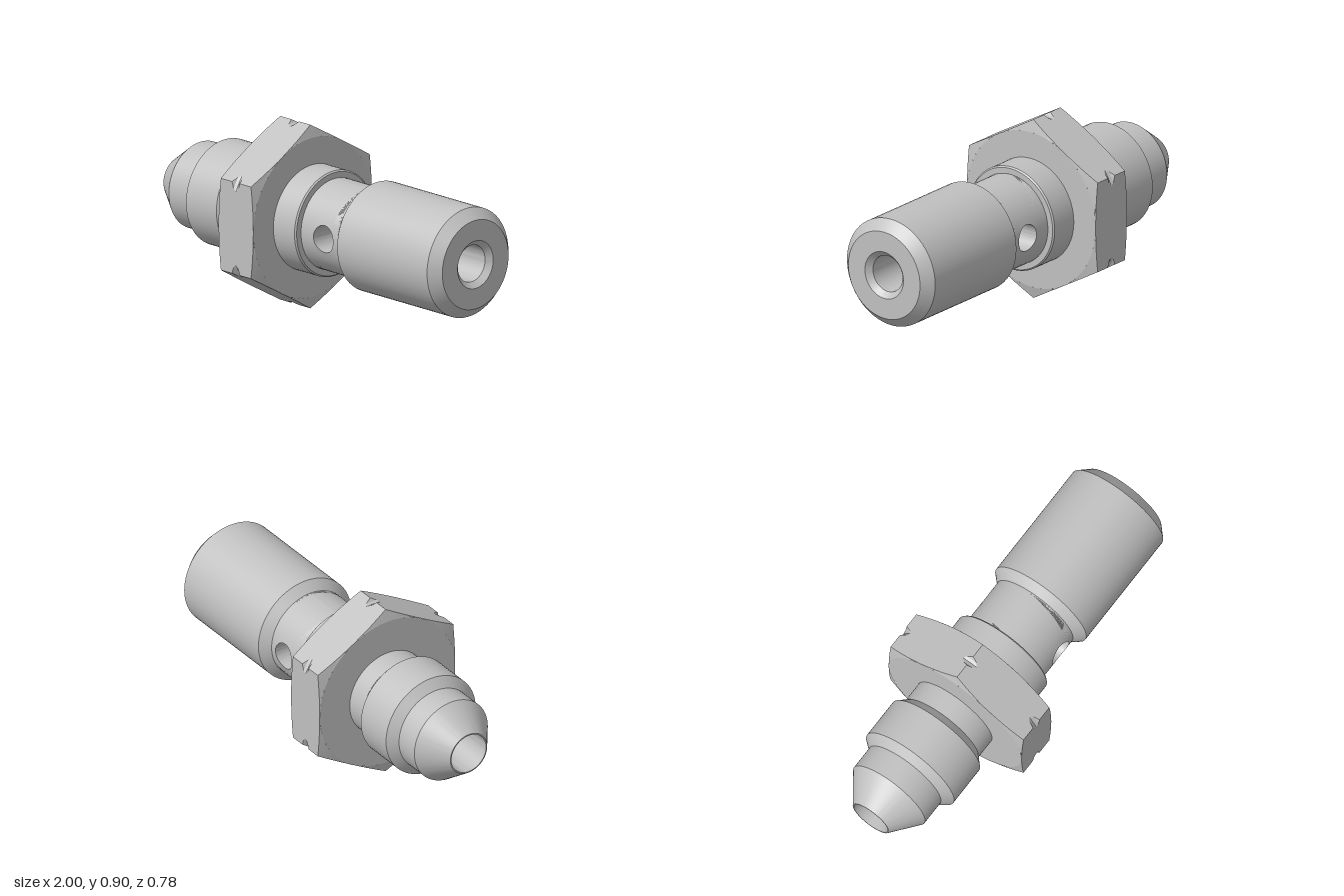
import * as THREE from 'three';
import { toCreasedNormals } from 'three/addons/utils/BufferGeometryUtils.js';

const CORNER = 0.4515, APOTHEM = CORNER * Math.cos(Math.PI / 6);
const NECK_R = 0.223, BORE_R = 0.1;
const NECK_X0 = 0.05, NECK_X1 = 0.29, HOLE_X = 0.2, HOLE_R = 0.066;

// Surface from a rule fn(i, j) -> [x, y, z]; it faces along (i direction) x (j direction)
function grid(nu, nv, fn) {
  const pos = [], idx = [];
  for (let i = 0; i <= nu; i++) for (let j = 0; j <= nv; j++) pos.push(...fn(i, j));
  for (let i = 0; i < nu; i++) for (let j = 0; j < nv; j++) {
    const a = i * (nv + 1) + j, b = a + nv + 1;
    idx.push(a, b, b + 1, a, b + 1, a + 1);
  }
  const g = new THREE.BufferGeometry();
  g.setAttribute('position', new THREE.Float32BufferAttribute(pos, 3));
  g.setIndex(idx);
  return toCreasedNormals(g, 0.3);
}

// Turned part along x from [x, radius] points
function turned(points) {
  const g = new THREE.LatheGeometry(points.map(([x, r]) => new THREE.Vector2(r, x)), 64);
  g.rotateZ(-Math.PI / 2);
  return toCreasedNormals(g, 0.3);
}

// Half cylinder with a round cross hole; the grid runs from the hole rim to the outer border
function drilledHalf(R, inward) {
  const N = 128, S = 10;
  return grid(S, N, (i, j) => {
    const s = (inward ? S - i : i) / S;
    const a = (j / N) * Math.PI * 2, c = Math.cos(a), n = Math.sin(a);
    const d = Math.max(Math.abs(c), Math.abs(n));
    const edgeX = HOLE_X + (c / d) * (c > 0 ? NECK_X1 - HOLE_X : HOLE_X - NECK_X0);
    const x = THREE.MathUtils.lerp(HOLE_X + HOLE_R * c, edgeX, s);
    const phi = THREE.MathUtils.lerp(Math.asin(HOLE_R * n / R), (n / d) * Math.PI / 2, s);
    return [x, R * Math.sin(phi), R * Math.cos(phi)];
  });
}

// Wall of the cross hole between bore and neck surface
function holeWall() {
  const N = 64;
  return grid(1, N, (i, j) => {
    const a = (j / N) * Math.PI * 2, y = HOLE_R * Math.sin(a);
    const R = i ? NECK_R : BORE_R;
    return [HOLE_X + HOLE_R * Math.cos(a), y, Math.sqrt(R * R - y * y)];
  });
}

// Hexagon trimmed by a turned outline: end chamfers and a small groove across the corners
function hexSides() {
  const outline = [[-0.335, APOTHEM], [-0.319, CORNER], [-0.244, CORNER], [-0.233, 0.436], [-0.218, 0.43],
    [-0.203, 0.436], [-0.192, CORNER], [-0.116, CORNER], [-0.1, APOTHEM]];
  const stations = [];
  outline.forEach(([x, r], k) => {
    if (k === 0) return stations.push([x, r]);
    const [px, pr] = outline[k - 1];
    for (let m = 1; m <= 5; m++) stations.push([px + (x - px) * m / 5, pr + (r - pr) * m / 5]);
  });
  const n = 6, perFace = 4 * n;
  return grid(stations.length - 1, 6 * perFace, (i, j) => {
    const [x, cap] = stations[i];
    const face = Math.floor(j / perFace), k = (j % perFace) - 2 * n;
    // angle at which the flat meets the turned outline
    const cut = Math.acos(Math.min(1, APOTHEM / cap)), m = Math.abs(k);
    const t = m <= n ? cut * m / n : cut + (Math.PI / 6 - cut) * (m - n) / n;
    const r = Math.min(APOTHEM / Math.cos(t), cap);
    const a = face * Math.PI / 3 + Math.PI / 6 + Math.sign(k) * t;
    return [x, r * Math.cos(a), -r * Math.sin(a)];
  });
}

export function createModel() {
  const model = new THREE.Group();
  model.name = 'hollowBolt';
  const steel = new THREE.MeshStandardMaterial({ color: 0xc0c0c0 });
  steel.name = 'steel';
  const add = (name, geometry, parent = model) => {
    const mesh = new THREE.Mesh(geometry, steel);
    mesh.name = name;
    parent.add(mesh);
    return mesh;
  };

  // Tapered pipe end with its open bore
  add('pipeEnd', turned([[NECK_X0, BORE_R], [-1, BORE_R], [-1, 0.106], [-0.855, 0.212], [-0.73, 0.212],
    [-0.69, 0.259], [-0.485, 0.259], [-0.443, 0.218], [-0.335, 0.218]]));

  // Hexagon and its two end faces
  const hex = new THREE.Group();
  hex.name = 'hexagon';
  model.add(hex);
  add('hexSides', hexSides(), hex);
  add('hexLeftFace', turned([[-0.335, 0.218], [-0.335, APOTHEM]]), hex);
  add('hexRightFace', turned([[-0.1, APOTHEM], [-0.1, 0.259]]), hex);

  // Sealing collar
  add('collar', turned([[-0.1, 0.259], [0.043, 0.259], [NECK_X0, 0.252], [NECK_X0, NECK_R]]));

  // Neck with the cross hole, in two equal halves
  for (const side of [0, 1]) {
    const half = new THREE.Group();
    half.name = side ? 'neckBack' : 'neckFront';
    half.rotation.x = side * Math.PI;
    model.add(half);
    add('neckSurface', drilledHalf(NECK_R, false), half);
    add('boreSurface', drilledHalf(BORE_R, true), half);
    add('crossHole', holeWall(), half);
  }
  add('boreEnd', turned([[0.345, 0], [NECK_X1, BORE_R]]));

  // Shank with chamfered end and blind hole
  add('shank', turned([[NECK_X1, NECK_R], [0.297, NECK_R], [0.341, 0.268], [0.948, 0.268], [1, 0.218],
    [1, 0.117], [0.973, 0.09], [0.75, 0.09], [0.7, 0]]));

  for (const part of model.children) part.position.y = CORNER;
  return model;
}
